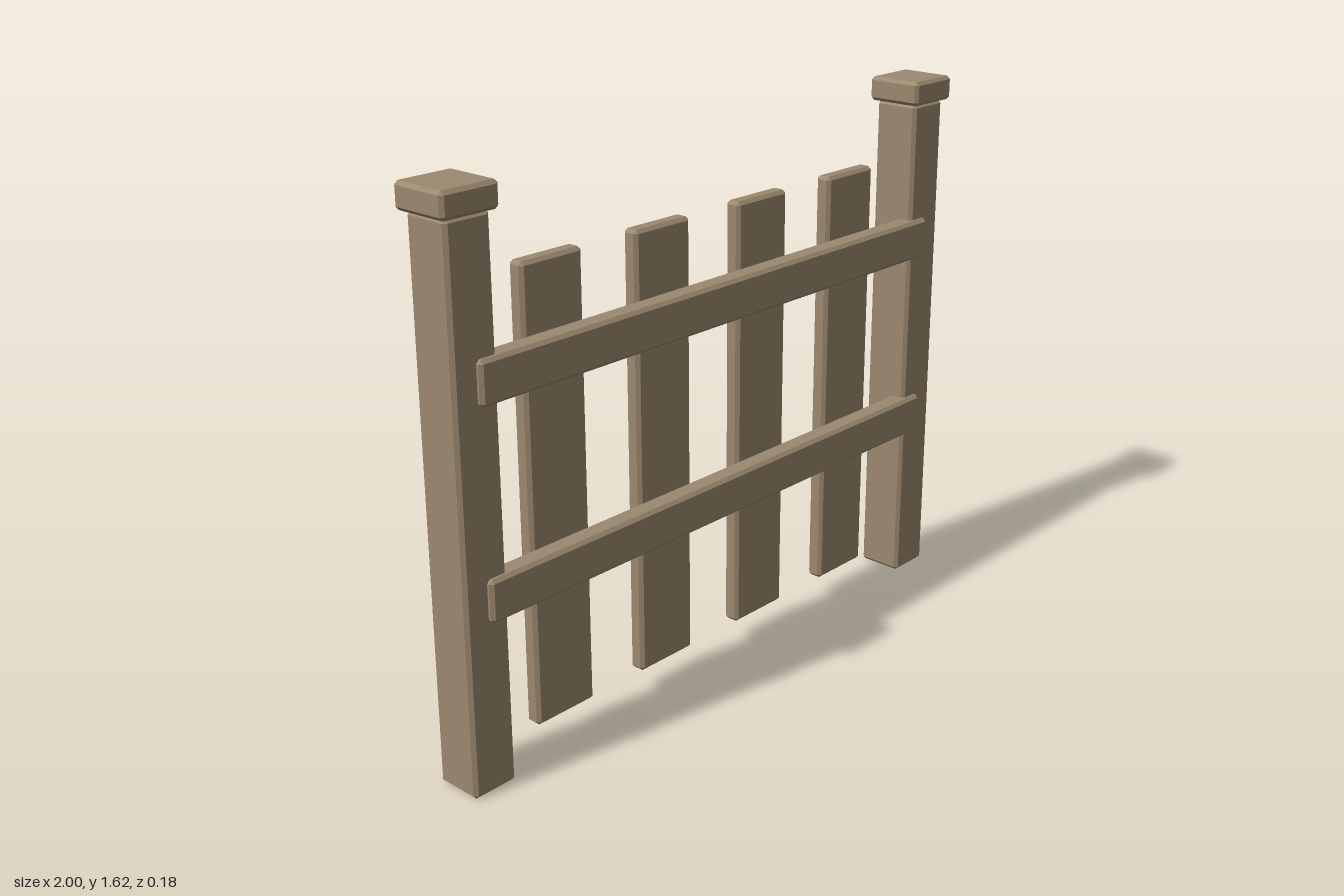
import * as THREE from 'three';
import { ConvexGeometry } from 'three/addons/geometries/ConvexGeometry.js';

// Box with flat chamfered edges and corners
function chamferBox(w, h, d, c = 0.01) {
  const pts = [];
  for (const sx of [-1, 1]) for (const sy of [-1, 1]) for (const sz of [-1, 1]) {
    const x = sx * w / 2, y = sy * h / 2, z = sz * d / 2;
    const ix = x - sx * c, iy = y - sy * c, iz = z - sz * c;
    pts.push(
      new THREE.Vector3(x, iy, iz),
      new THREE.Vector3(ix, y, iz),
      new THREE.Vector3(ix, iy, z)
    );
  }
  return new ConvexGeometry(pts);
}

export function createModel() {
  const fence = new THREE.Group();
  fence.name = 'fence';
  const wood = new THREE.MeshStandardMaterial({ color: 0x9c8970 });
  wood.name = 'weathered wood';

  const add = (name, geometry, x, y, z) => {
    const mesh = new THREE.Mesh(geometry, wood);
    mesh.name = name;
    mesh.position.set(x, y, z);
    fence.add(mesh);
  };

  // End posts with square caps
  const post = chamferBox(0.14, 1.548, 0.142);
  const cap = chamferBox(0.178, 0.072, 0.176);
  for (const [side, s] of [['left', 1], ['right', -1]]) {
    add(`${side}Post`, post, s * 0.91, 0.774, 0);
    add(`${side}PostCap`, cap, s * 0.911, 1.584, 0);
  }

  // Upright pickets behind the rails
  const picket = chamferBox(0.21, 1.3, 0.05);
  [-0.605, -0.205, 0.2, 0.6].forEach((x, i) => add(`picket${i + 1}`, picket, x, 0.73, -0.004));

  // Horizontal rails across the front of the posts
  const rail = chamferBox(1.815, 0.122, 0.066);
  add('lowerRail', rail, 0, 0.549, 0.054);
  add('upperRail', rail, 0, 1.131, 0.054);

  return fence;
}
